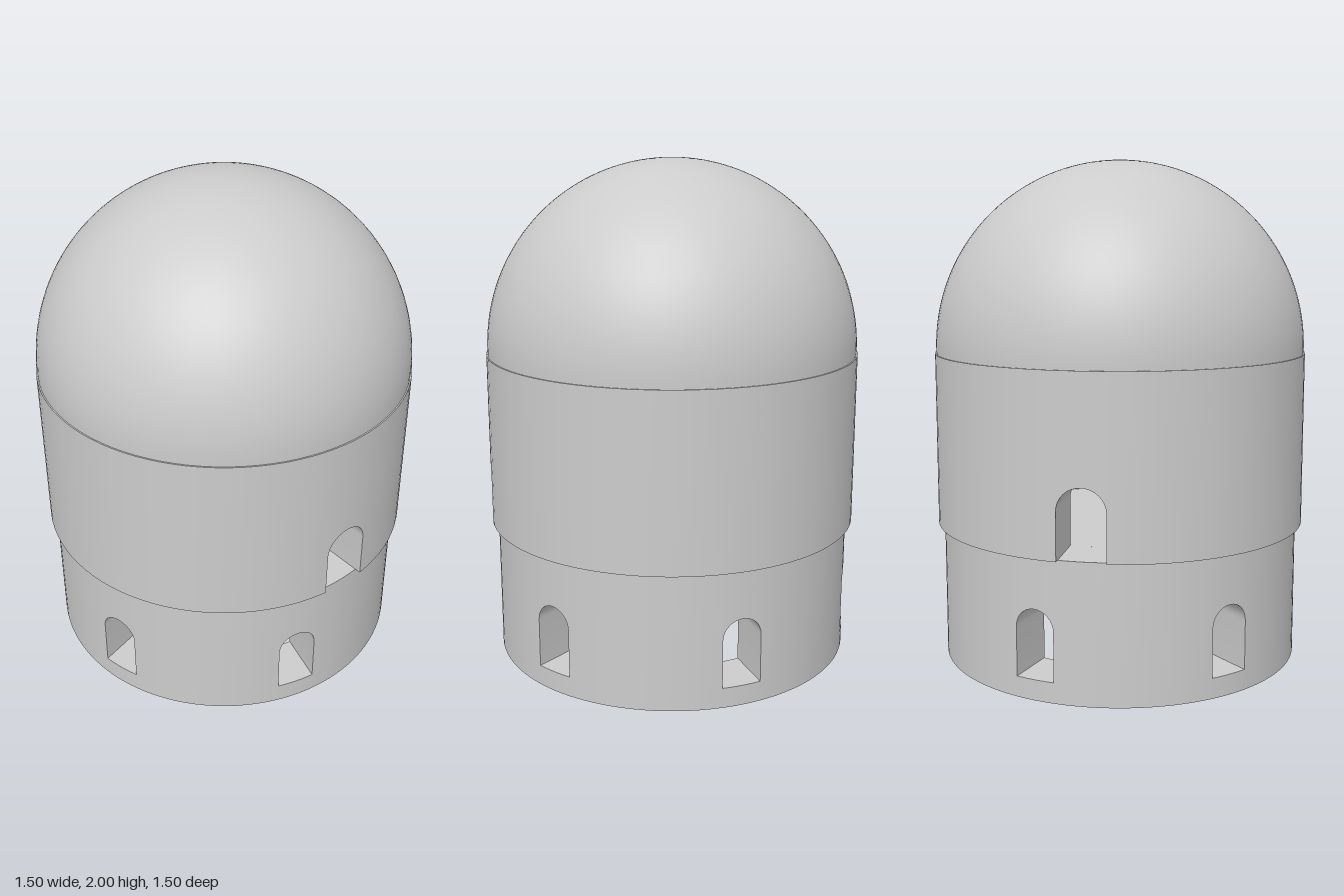
import * as THREE from 'three';
import { toCreasedNormals } from 'three/addons/utils/BufferGeometryUtils.js';

const material = new THREE.MeshStandardMaterial({ color: 0xcccccc });

// Thick round wall from y0 to y1, pierced by evenly spaced, parallel-sided arched openings
function archedWall({ rOut, rIn, y0, y1, count, first, width, sill, crown, solidSteps }) {
  const half = width / 2, spring = crown - half, archSteps = 16;
  const pos = [];
  const point = (angle, r, y) => [r * Math.sin(angle), y, r * Math.cos(angle)];
  const quad = (a, b, c, d) => pos.push(...a, ...b, ...c, ...a, ...c, ...d);

  // Outer, inner, and (optionally) end faces of one strip; s, t are stations, lo/hi heights at each
  const strip = (s, t, loS, loT, hiS, hiT, under, over) => {
    const o = [point(s.out, rOut, loS), point(t.out, rOut, loT), point(t.out, rOut, hiT), point(s.out, rOut, hiS)];
    const i = [point(s.in, rIn, loS), point(t.in, rIn, loT), point(t.in, rIn, hiT), point(s.in, rIn, hiS)];
    quad(o[0], o[1], o[2], o[3]);
    quad(i[1], i[0], i[3], i[2]);
    if (over) quad(o[3], o[2], i[2], i[3]);
    if (under) quad(o[1], o[0], i[0], i[1]);
  };

  const bay = (2 * Math.PI) / count;
  for (let k = 0; k < count; k++) {
    const centre = first + k * bay;
    const at = (x) => ({ out: centre + Math.asin(x / rOut), in: centre + Math.asin(x / rIn) });
    // Opening: wall below the sill and above the arch
    for (let j = 0; j < archSteps; j++) {
      const p = Math.PI * (1 - j / archSteps), q = Math.PI * (1 - (j + 1) / archSteps);
      const s = at(half * Math.cos(p)), t = at(half * Math.cos(q));
      if (sill > y0) strip(s, t, y0, y0, sill, sill, true, true);
      strip(s, t, spring + half * Math.sin(p), spring + half * Math.sin(q), y1, y1, true, true);
    }
    // Jambs
    const l = at(-half), r = at(half);
    quad(point(l.out, rOut, sill), point(l.in, rIn, sill), point(l.in, rIn, spring), point(l.out, rOut, spring));
    quad(point(r.in, rIn, sill), point(r.out, rOut, sill), point(r.out, rOut, spring), point(r.in, rIn, spring));
    // Solid wall up to the next opening
    const end = { out: l.out + bay, in: l.in + bay };
    const mix = (f) => ({ out: r.out + (end.out - r.out) * f, in: r.in + (end.in - r.in) * f });
    for (let j = 0; j < solidSteps; j++) {
      strip(mix(j / solidSteps), mix((j + 1) / solidSteps), y0, y0, y1, y1, true, true);
    }
  }
  const geometry = new THREE.BufferGeometry();
  geometry.setAttribute('position', new THREE.Float32BufferAttribute(pos, 3));
  return toCreasedNormals(geometry, Math.PI / 6);
}

// Points on a circular arc in the profile plane
function arc(radius, cy, from, to, steps) {
  return Array.from({ length: steps + 1 }, (_, i) => {
    const a = from + ((to - from) * i) / steps;
    return new THREE.Vector2(Math.max(0, radius * Math.cos(a)), cy + radius * Math.sin(a));
  });
}

const turned = (points) => toCreasedNormals(new THREE.LatheGeometry(points, 96), Math.PI / 6);

export function createModel() {
  const group = new THREE.Group();
  const add = (name, geometry) => {
    const mesh = new THREE.Mesh(geometry, material);
    mesh.name = name;
    group.add(mesh);
  };
  const rIn = 0.52, baseTop = 0.545, drumTop = 1.235;

  // Base ring with six windows
  add('base', archedWall({
    rOut: 0.725, rIn, y0: 0, y1: baseTop, count: 6, first: Math.PI / 12,
    width: 0.155, sill: 0.08, crown: 0.35, solidSteps: 14,
  }));

  // Drum with a doorway on each side
  add('drum', archedWall({
    rOut: 0.75, rIn, y0: baseTop, y1: drumTop, count: 2, first: Math.PI / 2,
    width: 0.185, sill: baseTop, crown: 0.82, solidSteps: 44,
  }));

  // Floor between the two storeys, with a shallow vaulted underside
  const vault = [];
  for (let i = 0; i <= 12; i++) {
    const f = i / 12;
    vault.push(new THREE.Vector2(rIn * f, 0.52 - 0.1 * f * f));
  }
  add('floor', turned([...vault, new THREE.Vector2(rIn, baseTop), new THREE.Vector2(0, baseTop)]));

  // Dome shell, outer skin up to the crown and inner skin back down
  const R = 0.745, cy = 2 - R;
  add('dome', turned([
    ...arc(R, cy, Math.asin((drumTop - cy) / R), Math.PI / 2, 40),
    ...arc(rIn, drumTop, Math.PI / 2, 0, 24),
  ]));

  return group;
}
